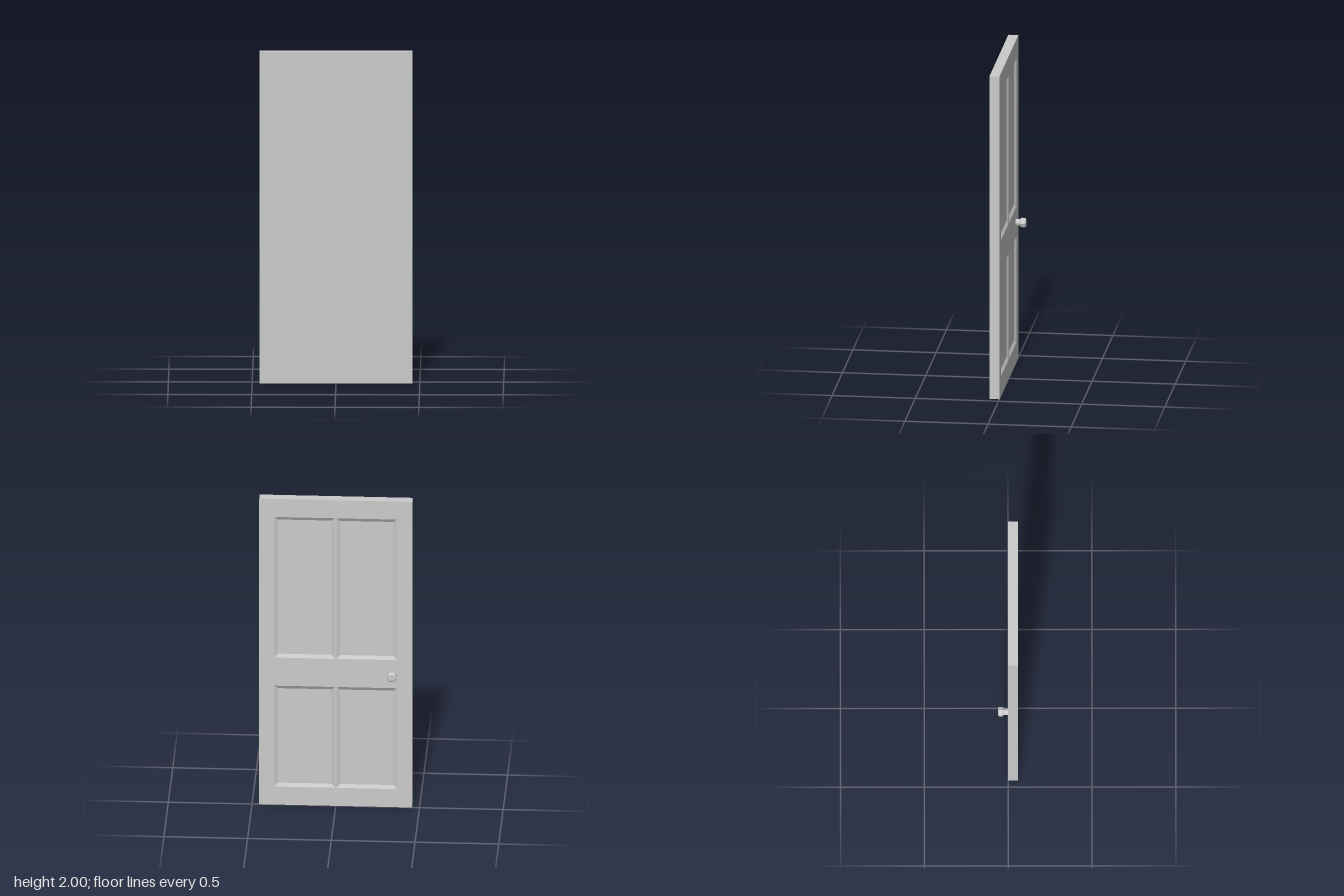
import * as THREE from 'three';

const W = 0.457, H = 2, T = 0.06;        // half width, height, thickness
const BEVEL = 0.021, DEPTH = 0.012;      // panel moulding width and recess

const material = new THREE.MeshStandardMaterial({ color: 0xcccccc, flatShading: true });

function part(name, geometry) {
  const mesh = new THREE.Mesh(geometry, material);
  mesh.name = name;
  return mesh;
}

// Corners of a rectangle, counter-clockwise, shrunk by inset
function corners([x0, y0, x1, y1], inset = 0) {
  const a = x0 + inset, b = y0 + inset, c = x1 - inset, d = y1 - inset;
  return [[a, b], [c, b], [c, d], [a, d]];
}

// Sunken panel: four sloping mouldings around a flat floor
function recessGeometry(rect) {
  const outer = corners(rect).map(([x, y]) => [x, y, 0]);
  const inner = corners(rect, BEVEL).map(([x, y]) => [x, y, -DEPTH]);
  const p = [];
  const quad = (a, b, c, d) => p.push(...a, ...b, ...c, ...a, ...c, ...d);
  for (let i = 0; i < 4; i++) {
    const j = (i + 1) % 4;
    quad(outer[i], outer[j], inner[j], inner[i]);
  }
  quad(...inner);
  const g = new THREE.BufferGeometry();
  g.setAttribute('position', new THREE.Float32BufferAttribute(p, 3));
  g.computeVertexNormals();
  return g;
}

export function createModel() {
  const door = new THREE.Group();
  door.name = 'door';

  // Panelled side is built facing +z, then turned to the back
  const leaf = new THREE.Group();
  leaf.name = 'doorLeaf';
  leaf.rotation.y = Math.PI;
  door.add(leaf);

  // Plain front and edges: a box without its panelled face
  const slab = new THREE.BoxGeometry(2 * W, H, T).translate(0, H / 2, -T / 2);
  const index = Array.from(slab.index.array);
  slab.setIndex([...index.slice(0, 24), ...index.slice(30)]);
  slab.clearGroups();
  leaf.add(part('slab', slab));

  // Stiles and rails, with an opening for each panel
  const toVectors = (pts) => pts.map(([x, y]) => new THREE.Vector2(x, y));
  const face = new THREE.Shape(toVectors(corners([-W, 0, W, H])));
  for (const [row, y0, y1] of [['lower', 0.118, 0.778], ['upper', 0.962, 1.882]]) {
    for (const [side, x0, x1] of [['Left', -0.366, -0.004], ['Right', 0.004, 0.366]]) {
      const rect = [x0, y0, x1, y1];
      face.holes.push(new THREE.Path(toVectors(corners(rect)).reverse()));
      leaf.add(part(`${row}${side}Panel`, recessGeometry(rect)));
    }
  }
  leaf.add(part('stilesAndRails', new THREE.ShapeGeometry(face)));

  // Eight-sided knob on a short stem
  const profile = [[0.021, 0], [0.021, 0.027], [0.024, 0.027], [0.03, 0.034],
    [0.03, 0.055], [0.023, 0.062], [0, 0.062]].map(([r, y]) => new THREE.Vector2(r, y));
  const knob = part('knob', new THREE.LatheGeometry(profile, 8).rotateX(Math.PI / 2));
  knob.position.set(0.338, 0.872, 0);
  leaf.add(knob);

  return door;
}
